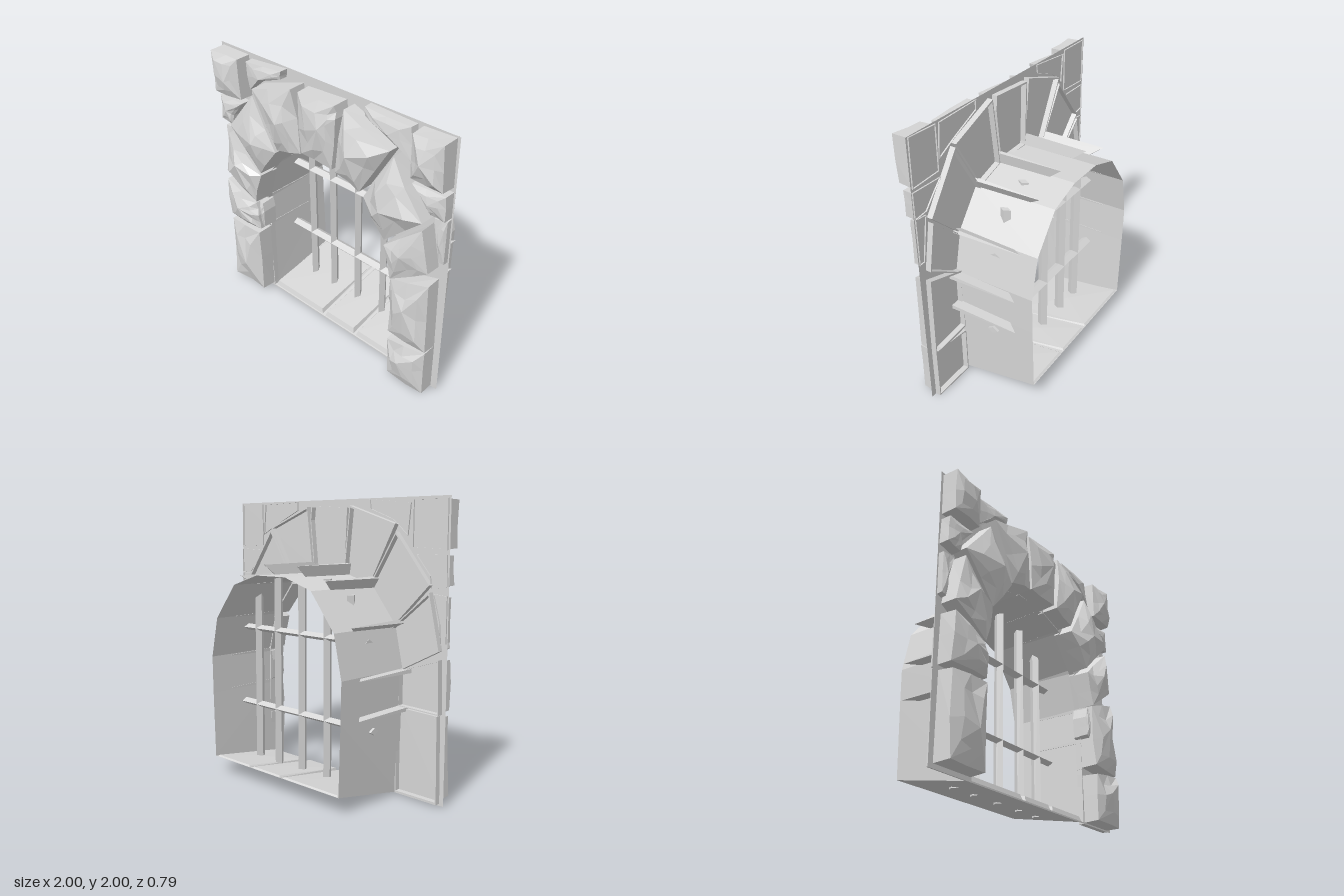
import * as THREE from 'three';

export function createModel() {
  const model = new THREE.Group();
  const grey = new THREE.MeshStandardMaterial({ color: 0xd6d6d6, flatShading: true, side: THREE.DoubleSide });
  grey.name = 'stone grey';

  let seed = 11;
  const rand = () => (seed = (seed * 16807) % 2147483647) / 2147483647;
  const add = (name, geometry, parent = model) => {
    const mesh = new THREE.Mesh(geometry, grey);
    mesh.name = name;
    parent.add(mesh);
    return mesh;
  };
  const group = (name) => {
    const g = new THREE.Group();
    g.name = name;
    model.add(g);
    return g;
  };

  // Joins closed rings of equal length, with an optional centre point at the end
  function loft(rings, endTip) {
    const pos = [];
    const tri = (...p) => p.forEach((v) => pos.push(...v));
    const n = rings[0].length;
    for (let i = 0; i < n; i++) {
      const j = (i + 1) % n;
      for (let r = 0; r < rings.length - 1; r++) {
        const [a, b] = [rings[r], rings[r + 1]];
        tri(a[i], a[j], b[j]);
        tri(a[i], b[j], b[i]);
      }
      if (endTip) tri(rings.at(-1)[i], rings.at(-1)[j], endTip);
    }
    const g = new THREE.BufferGeometry();
    g.setAttribute('position', new THREE.Float32BufferAttribute(pos, 3));
    g.computeVertexNormals();
    return g;
  }

  // A rough stone: straight sides, an uneven shoulder, a chiselled front
  // and a joint rim that stands out behind the wall plate
  function stone(name, outline, shoulder, peak, rimWidth, rimBack, parent) {
    let pts = outline.map(([x, y]) => new THREE.Vector2(x, y));
    if (THREE.ShapeUtils.area(pts) < 0) pts.reverse();
    const c = new THREE.Vector2();
    pts.forEach((p) => c.addScaledVector(p, 1 / pts.length));
    pts = pts.flatMap((p, i) => [p, p.clone().lerp(pts[(i + 1) % pts.length], 0.4 + 0.2 * rand())]);
    const ring = (scale, z) => pts.map((p) => {
      const q = c.clone().lerp(p, scale());
      return [q.x, q.y, z()];
    });
    const d = peak - shoulder;
    const tip = c.clone().lerp(pts[Math.floor(rand() * pts.length)], 0.2);
    const rings = [
      ring(() => 1, () => 0.2),
      ring(() => 0.965 + 0.03 * rand(), () => shoulder + d * 0.4 * (rand() - 0.5)),
      ring(() => 0.5 + 0.16 * rand(), () => shoulder + d * (0.3 + 0.45 * rand())),
    ];
    add(name, loft(rings, [tip.x, tip.y, peak]), parent);
    const rim = [[1, 0.2], [1, rimBack], [1 + rimWidth, rimBack], [1 + rimWidth, 0.2]];
    add(name + 'Rim', loft(rim.map(([s, z]) => ring(() => s, () => z))), parent);
  }

  // Arch outline, from the lower right round to the lower left
  const half = [[0.625, 0.01], [0.64, 0.6], [0.645, 0.87], [0.58, 1.16], [0.38, 1.41], [0.14, 1.485]];
  const arch = [...half, ...half.map(([x, y]) => [-x, y]).reverse()];

  // Thin wall plate with the arched opening
  const wall = new THREE.Shape([[-1, 0], [1, 0], [1, 2], [-1, 2]].map((p) => new THREE.Vector2(...p)));
  wall.holes.push(new THREE.Path(arch.map((p) => new THREE.Vector2(...p))));
  add('wallPlate', new THREE.ShapeGeometry(wall).translate(0, 0, 0.2));

  // Tunnel lining with a sloping floor
  const section = (z, floor) => arch.map(([x, y]) => [x, Math.max(y, floor), z]);
  add('tunnelLining', loft([section(-0.4, 0.12), section(0.2, 0.01)]));

  // Large stones around the opening
  const archStones = group('archStones');
  [
    [[-0.16, 1.93], [0.17, 1.95], [0.18, 1.86], [0.14, 1.48], [-0.14, 1.49]],
    [[-0.58, 1.82], [-0.2, 1.94], [-0.15, 1.48], [-0.37, 1.42]],
    [[0.23, 1.94], [0.6, 1.8], [0.37, 1.42], [0.17, 1.48]],
    [[-0.86, 1.44], [-0.6, 1.76], [-0.38, 1.4], [-0.57, 1.15]],
    [[0.62, 1.77], [0.87, 1.42], [0.58, 1.15], [0.39, 1.39]],
    [[-0.87, 1.38], [-0.57, 1.13], [-0.64, 0.87], [-0.95, 1.03]],
    [[0.87, 1.37], [0.93, 1.06], [0.64, 0.87], [0.58, 1.12]],
    [[-0.95, 0.96], [-0.65, 0.86], [-0.62, 0.76], [-0.62, 0.63], [-0.96, 0.62]],
    [[-0.95, 0.59], [-0.63, 0.6], [-0.635, 0.03], [-0.96, 0.03]],
    [[0.64, 0.87], [0.94, 0.97], [0.95, 0.39], [0.64, 0.41]],
    [[0.64, 0.35], [0.95, 0.39], [0.95, 0.01], [0.64, 0.01]],
  ].forEach((o, i) => stone('archStone', o, 0.31, i > 0 && i < 5 ? 0.39 : 0.37, 0.055, 0.16, archStones));

  // Smaller stones filling the corners: outline, shoulder depth, peak depth
  const cornerStones = group('cornerStones');
  [
    [[[-0.98, 1.98], [-0.72, 1.98], [-0.72, 1.68], [-0.98, 1.67]], 0.31, 0.36],
    [[[0.75, 1.98], [0.98, 1.99], [0.985, 1.67], [0.75, 1.68]], 0.31, 0.36],
    [[[-0.69, 1.96], [-0.35, 1.99], [-0.36, 1.93], [-0.55, 1.86], [-0.67, 1.76]], 0.26, 0.29],
    [[[0.36, 1.99], [0.71, 1.98], [0.73, 1.76], [0.59, 1.83], [0.36, 1.93]], 0.26, 0.29],
    [[[-0.98, 1.63], [-0.75, 1.63], [-0.86, 1.5], [-0.87, 1.42], [-0.99, 1.44]], 0.27, 0.3],
    [[[0.74, 1.63], [0.99, 1.64], [0.99, 1.46], [0.89, 1.47], [0.81, 1.56]], 0.27, 0.3],
    [[[-0.99, 1.37], [-0.89, 1.38], [-0.94, 1.2], [-0.95, 1.07], [-0.99, 1.08]], 0.24, 0.26],
    [[[0.9, 1.44], [0.99, 1.45], [0.99, 1.13], [0.95, 1.13]], 0.24, 0.26],
  ].forEach(([o, s, p]) => stone('cornerStone', o, s, p, 0.04, 0.19, cornerStones));

  // Small stones lining the jambs
  for (const s of [-1, 1]) {
    const jamb = [[0.65, 0.86], [0.62, 0.85], [0.605, 0.78], [0.61, 0.64], [0.65, 0.62]];
    stone('jambStone', jamb.map(([x, y]) => [s * x, y]), 0.27, 0.29, 0.03, 0.16, archStones);
  }

  // Floor slabs, thicker towards the front
  const floor = group('floorSlabs');
  for (const [x0, x1] of [[-0.615, -0.1], [-0.07, 0.22], [0.245, 0.615]]) {
    const ring = (front, back, e) => [
      [x0 + e, front, 0.19 - e], [x1 - e, front, 0.19 - e], [x1 - e, back, -0.395 + e], [x0 + e, back, -0.395 + e],
    ];
    const top = [(x0 + x1) / 2, 0.095, -0.1];
    add('floorSlab', loft([ring(0.012, 0.119, 0), ring(0.05, 0.128, 0.012)], top), floor);
  }

  // Joint fins on the outside of the tunnel, tapering in thickness to the back
  const joints = group('jointFins');
  const fin = new THREE.Shape();
  fin.moveTo(-0.003, -0.2).lineTo(0.075, -0.2).lineTo(0.07, 0.31).lineTo(-0.003, 0.22);
  const finGeometry = new THREE.ExtrudeGeometry(fin, { depth: 0.028, bevelEnabled: false }).translate(0, 0, -0.014);
  const fp = finGeometry.attributes.position;
  for (let i = 0; i < fp.count; i++) fp.setZ(i, fp.getZ(i) * (0.35 - fp.getY(i)) / 0.55);
  finGeometry.rotateX(-Math.PI / 2);
  // Joint position and outward angle
  for (const [x, y, a] of [[0.64, 0.61, 0], [0.645, 0.86, 0.08], [0.58, 1.16, 0.45], [0.38, 1.41, 1.0], [0.15, 1.485, 1.4]]) {
    for (const s of [-1, 1]) {
      const m = add('jointFin', finGeometry, joints);
      m.position.set(s * x, y, 0);
      m.rotation.z = s > 0 ? a : Math.PI - a;
    }
  }

  // Barred grille made of diamond-section rods
  const grille = group('grille');
  const rod = (length) => new THREE.CylinderGeometry(1, 1, length, 4).scale(0.024, 1, 0.04);
  for (const [x, top] of [[-0.44, 1.37], [-0.23, 1.465], [0.015, 1.485], [0.26, 1.46], [0.47, 1.36]]) {
    add('verticalBar', rod(top - 0.055), grille).position.set(x, (top + 0.055) / 2, -0.09);
  }
  for (const [y, length] of [[0.495, 1.31], [1.07, 1.2]]) {
    const bar = add('crossBar', rod(length), grille);
    bar.rotation.z = Math.PI / 2;
    bar.position.set(0, y, -0.09);
  }
  return model;
}
